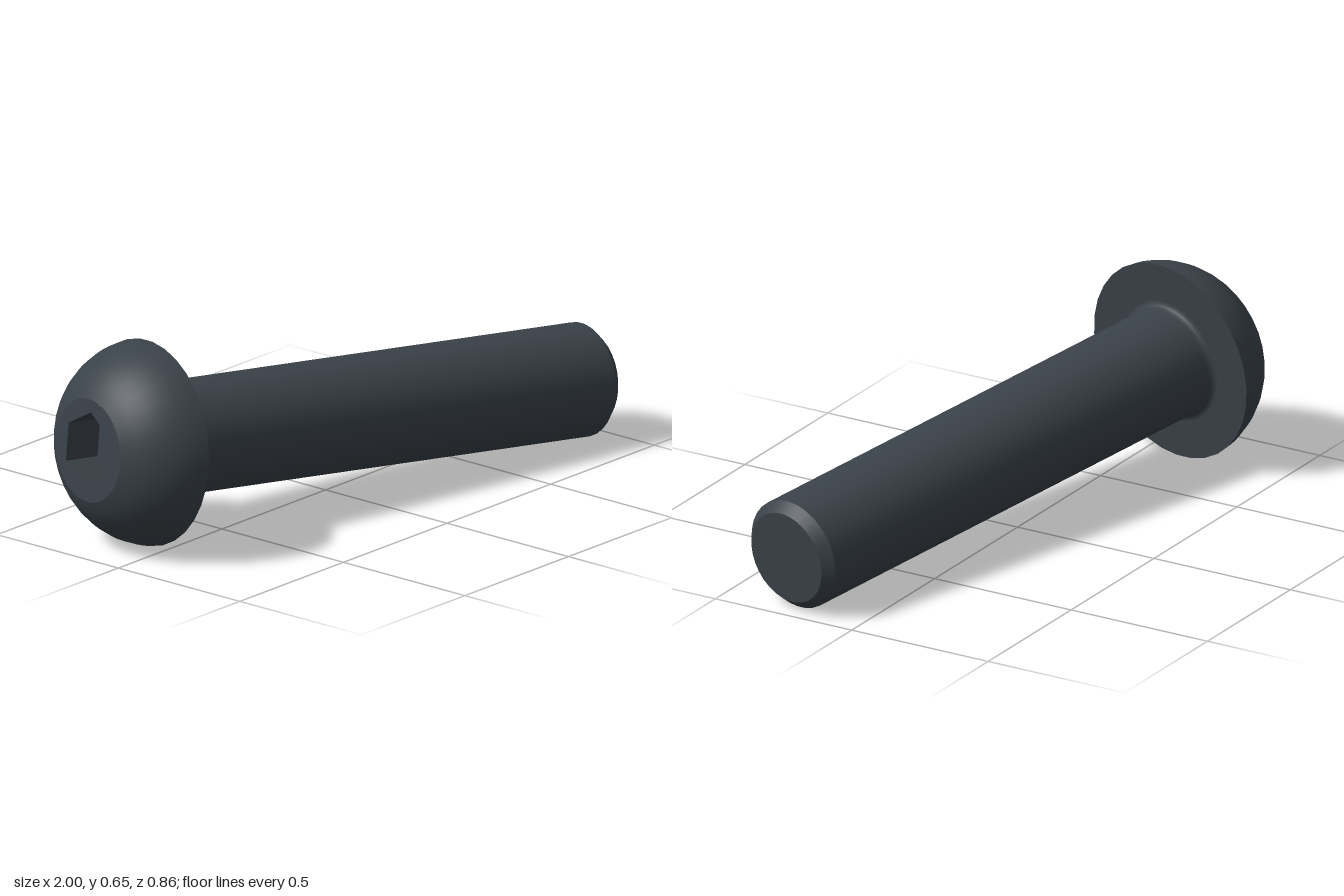
import * as THREE from 'three';

const SIDES = 32;
const LENGTH = 1.756, SHAFT_R = 0.181, TIP_R = 0.151, CHAMFER = 0.033;
const HEAD_R = 0.328, HEAD_H = 0.226, TOP_R = 0.165, FILLET = 0.02;
const HEX_R = 0.124, HEX_DEPTH = 0.125;

export function createModel() {
  const steel = new THREE.MeshStandardMaterial({ color: 0x3a4249 });
  steel.name = 'dark steel';

  // The bolt is built upright: head underside at y = 0, shaft pointing down
  const bolt = new THREE.Group();
  bolt.name = 'bolt';
  const add = (name, geometry) => {
    const mesh = new THREE.Mesh(geometry, steel);
    mesh.name = name;
    bolt.add(mesh);
  };
  const lathe = (name, points) =>
    add(name, new THREE.LatheGeometry(points.map(([r, y]) => new THREE.Vector2(r, y)), SIDES));

  // Tip face and chamfer
  lathe('tipFace', [[0, -LENGTH], [TIP_R, -LENGTH]]);
  lathe('tipChamfer', [[TIP_R, -LENGTH], [SHAFT_R, -LENGTH + CHAMFER]]);

  // Shaft, running into a small fillet under the head
  const shaft = [[SHAFT_R, -LENGTH + CHAMFER], [SHAFT_R, -FILLET - 0.01]];
  for (let i = 0; i <= 4; i++) {
    const a = (i / 4) * Math.PI / 2;
    shaft.push([SHAFT_R + FILLET * (1 - Math.cos(a)), -FILLET + FILLET * Math.sin(a)]);
  }
  lathe('shaft', shaft);
  lathe('headUnderside', [[SHAFT_R + FILLET, 0], [HEAD_R, 0]]);

  // Domed head: an arc from the rim to the flat top
  const cr = 0.0485, cy = -0.03;
  const a0 = Math.atan2(-cy, HEAD_R - cr), a1 = Math.atan2(HEAD_H - cy, TOP_R - cr);
  const arcR = Math.hypot(HEAD_R - cr, cy);
  const dome = [];
  for (let i = 0; i <= 10; i++) {
    const a = a0 + (a1 - a0) * i / 10;
    dome.push([cr + arcR * Math.cos(a), cy + arcR * Math.sin(a)]);
  }
  lathe('headDome', dome);

  // Flat top with a hexagonal opening
  const top = new THREE.Shape().absarc(0, 0, TOP_R, 0, Math.PI * 2, false);
  const hex = [];
  for (let i = 0; i < 6; i++) {
    const a = Math.PI / 2 - i * Math.PI / 3;
    hex.push(new THREE.Vector2(HEX_R * Math.cos(a), HEX_R * Math.sin(a)));
  }
  top.holes.push(new THREE.Path(hex));
  add('headTop', new THREE.ShapeGeometry(top, SIDES / 2).rotateX(-Math.PI / 2).translate(0, HEAD_H, 0));

  // Socket walls facing inward, and the socket floor
  const walls = new THREE.CylinderGeometry(HEX_R, HEX_R, HEX_DEPTH, 6, 1, true)
    .toNonIndexed().scale(-1, 1, 1).translate(0, HEAD_H - HEX_DEPTH / 2, 0);
  // Mirroring turns the faces inward
  walls.computeVertexNormals();
  add('socketWalls', walls);
  add('socketFloor', new THREE.CircleGeometry(HEX_R, 6, Math.PI / 2)
    .rotateX(-Math.PI / 2).translate(0, HEAD_H - HEX_DEPTH, 0));

  // Lay the bolt down along its slanted axis
  const yAxis = new THREE.Vector3(-0.9743, 0.0849, -0.209).normalize();
  const zAxis = new THREE.Vector3(0, 1, 0).addScaledVector(yAxis, -yAxis.y).normalize();
  const xAxis = new THREE.Vector3().crossVectors(yAxis, zAxis);
  bolt.quaternion.setFromRotationMatrix(new THREE.Matrix4().makeBasis(xAxis, yAxis, zAxis));
  bolt.position.set(-0.745, 0.327, -0.107);

  const model = new THREE.Group();
  model.name = 'buttonHeadBolt';
  model.add(bolt);
  return model;
}
